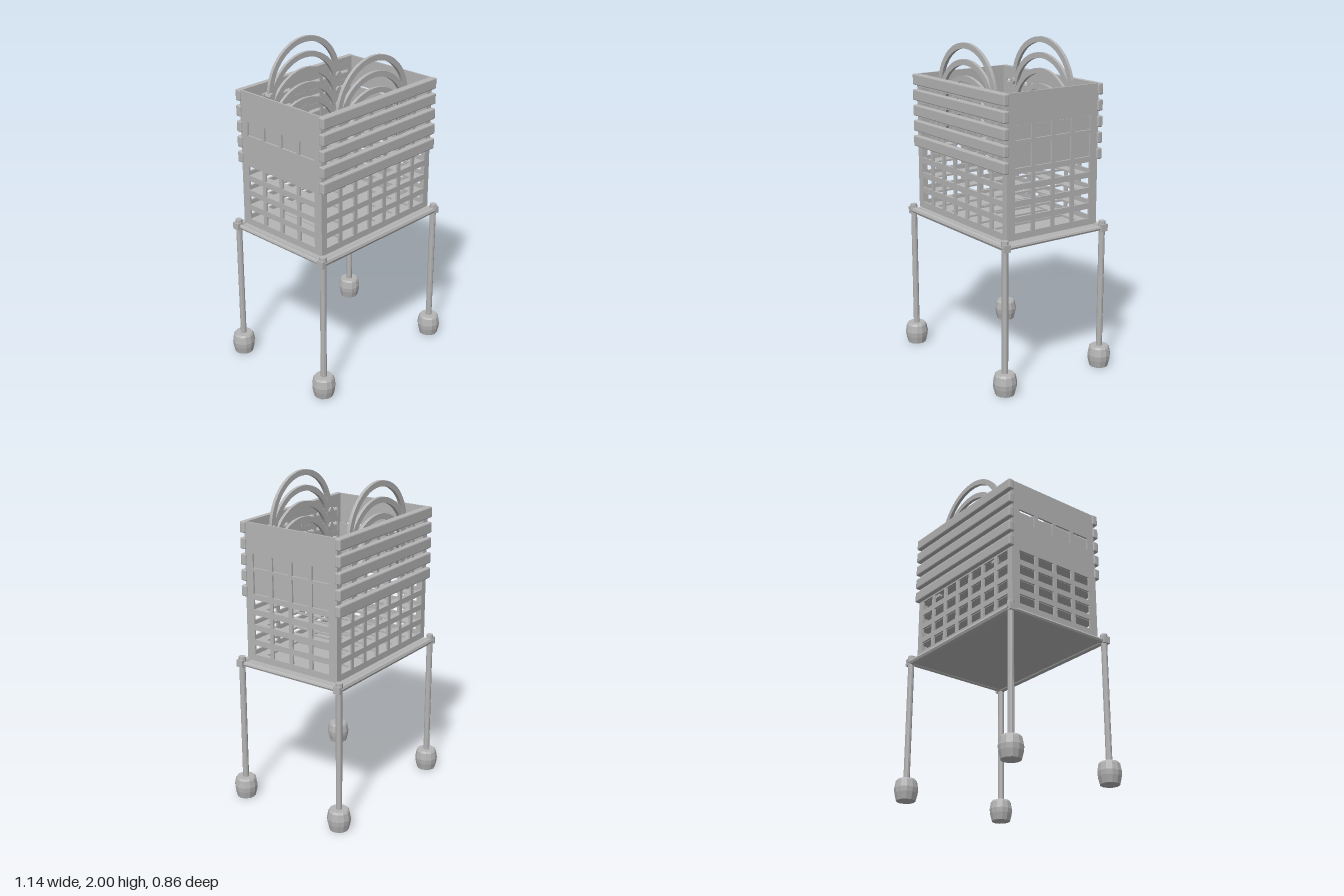
import * as THREE from 'three';
import { RoundedBoxGeometry } from 'three/addons/geometries/RoundedBoxGeometry.js';

const grey = new THREE.MeshStandardMaterial({ color: 0xb4b4b4, flatShading: true });
grey.name = 'plain grey';

const STACK = 5, PITCH = 0.0965, BASE = 0.92, TOP = 1.77;
const HALF_X = 0.475, HALF_Z = 0.33, WALL = 0.012;

function add(parent, name, geometry, x = 0, y = 0, z = 0) {
  const mesh = new THREE.Mesh(geometry, grey);
  mesh.name = name;
  mesh.position.set(x, y, z);
  parent.add(mesh);
  return mesh;
}

function addRect(target, x0, y0, x1, y1) {
  target.moveTo(x0, y0);
  target.lineTo(x1, y0);
  target.lineTo(x1, y1);
  target.lineTo(x0, y1);
  target.closePath();
  return target;
}

// Flat panel with a grid of rectangular holes; rows are [bottom, top] pairs
function gridPanel(halfWidth, y0, y1, columns, pitch, holeWidth, rows) {
  const shape = addRect(new THREE.Shape(), -halfWidth, y0, halfWidth, y1);
  for (const [bottom, top] of rows) {
    for (let i = 0; i < columns; i++) {
      const c = (i - (columns - 1) / 2) * pitch;
      shape.holes.push(addRect(new THREE.Path(), c - holeWidth / 2, bottom, c + holeWidth / 2, top));
    }
  }
  return new THREE.ExtrudeGeometry(shape, { depth: WALL, bevelEnabled: false });
}

// Perforated walls of the nested basket stack
function buildWalls(group) {
  const rows = [];
  for (let i = 0; i < 8; i++) rows.push([0.96 + i * 0.0955, 1.02 + i * 0.0955]);

  const longWall = gridPanel(HALF_X, BASE, TOP, 7, 0.127, 0.1, rows);
  add(group, 'frontWall', longWall, 0, 0, HALF_Z - WALL);
  add(group, 'backWall', longWall, 0, 0, -HALF_Z);

  const low = rows.slice(0, 4);
  const slot = [1.5, 1.585];
  const left = add(group, 'leftWall', gridPanel(HALF_Z, BASE, TOP, 4, 0.143, 0.117, [...low, [1.34, 1.48], slot]), HALF_X - WALL);
  const right = add(group, 'rightWall', gridPanel(HALF_Z, BASE, TOP, 4, 0.143, 0.117, [...low, slot]), -HALF_X + WALL);
  left.rotation.y = Math.PI / 2;
  right.rotation.y = -Math.PI / 2;

  // Inner basket sides seen behind the upper openings
  for (const s of [-1, 1]) {
    add(group, 'innerSidePanel', new THREE.BoxGeometry(0.008, 0.27, 0.63), s * (HALF_X - 0.022), 1.445, 0);
  }
}

// One basket of the stack: slatted floor, long rims and two arched handles
function buildBasket(index) {
  const basket = new THREE.Group();
  basket.name = 'basket' + (index + 1);
  basket.position.y = BASE + index * PITCH;

  const floor = gridPanel(HALF_X - WALL, -HALF_Z + WALL, HALF_Z - WALL, 5, 0.156, 0.144, [[-0.255, 0.255]]);
  floor.rotateX(-Math.PI / 2);
  add(basket, 'floor', floor);

  const arch = new THREE.Shape();
  arch.absarc(0, 0, 0.3, 0, Math.PI, false);
  arch.absarc(0, 0, 0.266, Math.PI, 0, true);
  const handle = new THREE.ExtrudeGeometry(arch, { depth: 0.02, bevelEnabled: false, curveSegments: 14 });
  handle.translate(0, 0, -0.01);

  for (const s of [-1, 1]) {
    add(basket, 'rim', new RoundedBoxGeometry(0.97, 0.068, 0.038, 1, 0.007), 0, 0.43, s * 0.339);
    add(basket, 'handle', handle, 0, 0.394, s * 0.278);
    for (const side of [-1, 1]) {
      const pivot = new THREE.CylinderGeometry(0.022, 0.022, 0.05, 8);
      pivot.rotateX(Math.PI / 2);
      add(basket, 'handlePivot', pivot, side * 0.284, 0.39, s * 0.28);
      add(basket, 'pivotBracket', new THREE.BoxGeometry(0.048, 0.035, 0.018), side * 0.29, 0.385, s * 0.31);
    }
  }
  return basket;
}

// Stand with a base plate, rails, four legs and barrel feet
function buildStand() {
  const stand = new THREE.Group();
  stand.name = 'stand';
  add(stand, 'basePlate', new THREE.BoxGeometry(0.98, 0.012, 0.71), 0, 0.894, 0);

  const longRail = new THREE.CylinderGeometry(0.021, 0.021, 1.05, 8);
  longRail.rotateZ(Math.PI / 2);
  const shortRail = new THREE.CylinderGeometry(0.015, 0.015, 0.72, 8);
  shortRail.rotateX(Math.PI / 2);
  const foot = new THREE.LatheGeometry(
    [[0, 0], [0.058, 0], [0.069, 0.045], [0.072, 0.075], [0.064, 0.12], [0.055, 0.132], [0, 0.132]]
      .map(([r, y]) => new THREE.Vector2(r, y)), 12);

  for (const s of [-1, 1]) {
    add(stand, 'longRail', longRail, 0, 0.896, s * 0.36);
    add(stand, 'shortRail', shortRail, s * 0.497, 0.892, 0);
    for (const t of [-1, 1]) {
      const x = s * 0.497, z = t * 0.36;
      add(stand, 'leg', new THREE.CylinderGeometry(0.019, 0.019, 0.78, 10), x, 0.51, z);
      add(stand, 'legCap', new THREE.CylinderGeometry(0.021, 0.023, 0.04, 8), x, 0.917, z);
      add(stand, 'railEnd', new THREE.BoxGeometry(0.02, 0.044, 0.046), s * 0.515, 0.896, z);
      add(stand, 'foot', foot, x, 0, z);
    }
  }
  return stand;
}

export function createModel() {
  const model = new THREE.Group();
  model.name = 'basketStand';

  const stack = new THREE.Group();
  stack.name = 'basketStack';
  buildWalls(stack);
  for (let i = 0; i < STACK; i++) stack.add(buildBasket(i));

  model.add(buildStand(), stack);
  return model;
}
